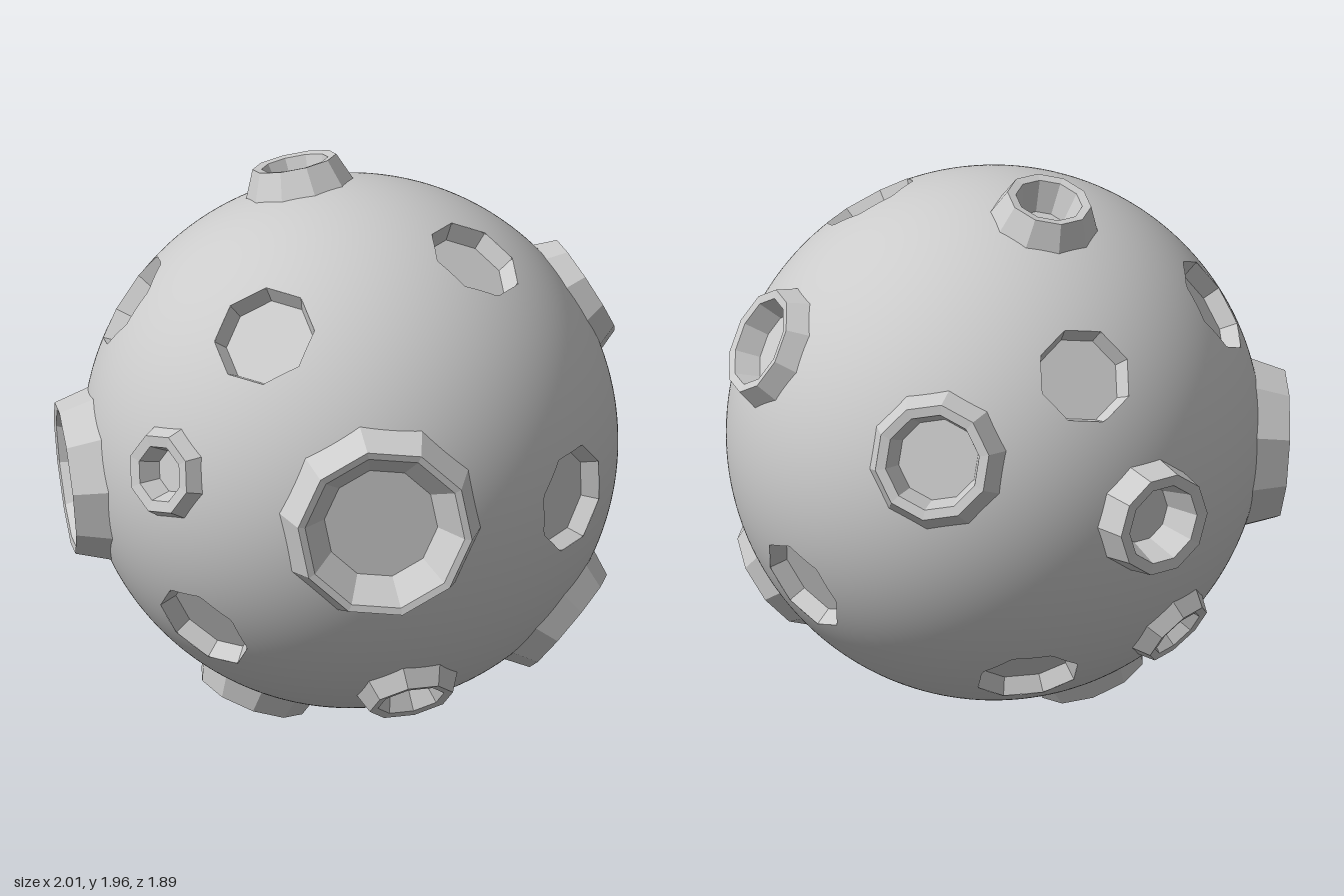
import * as THREE from 'three';
import { mergeVertices } from 'three/addons/utils/BufferGeometryUtils.js';

const R = 0.91;
const CENTRE = [0, 0.97, -0.04];

// Raised craters: direction, base, rim, mouth and floor radius, rim height, sides
const RAISED = [
  [[-0.48, -0.09, 0.87], 0.30, 0.26, 0.235, 0.18, 0.98, 10],
  [[0.87, 0.085, 0.48], 0.35, 0.30, 0.275, 0.195, 0.985, 10],
  [[-0.28, 0.955, 0.035], 0.19, 0.145, 0.115, 0.085, 0.985, 10],
  [[0.17, 0.18, 0.97], 0.17, 0.14, 0.10, 0.075, 0.95, 8],
  [[-1, 0, 0], 0.20, 0.18, 0.14, 0.105, 1.0, 10],
  [[-0.635, 0.275, -0.715], 0.245, 0.20, 0.165, 0.14, 0.97, 10],
  [[0.60, -0.62, -0.52], 0.245, 0.205, 0.165, 0.12, 0.965, 10],
  [[0.66, -0.72, 0.21], 0.18, 0.145, 0.115, 0.08, 0.96, 8],
  [[-0.78, -0.57, 0.25], 0.165, 0.13, 0.10, 0.07, 0.955, 8],
  [[-0.155, -0.93, 0.31], 0.22, 0.19, 0.15, 0.12, 0.97, 10],
  [[0.25, 0.47, -0.845], 0.22, 0.185, 0.155, 0.13, 0.96, 10],
];

// Sunken craters: direction and radius
const SUNKEN = [
  [[-0.53, 0.55, 0.63], 0.18],
  [[0.31, 0.70, 0.62], 0.18],
  [[0.23, -0.47, 0.85], 0.178],
  [[0.93, 0, -0.365], 0.185],
  [[0.46, 0.85, -0.25], 0.17],
  [[-0.82, 0.55, -0.16], 0.17],
  [[-0.045, -0.39, -0.92], 0.178],
  [[-0.63, -0.71, -0.29], 0.178],
];

const UP = new THREE.Vector3(0, 1, 0);
const onSphere = (r) => Math.sqrt(R * R - r * r);

// A crater has an orientation, a lathe profile and the hole it cuts in the ball
function makeCrater(name, dir, profile, cut, sides) {
  const turn = new THREE.Quaternion().setFromUnitVectors(UP, new THREE.Vector3(...dir).normalize());
  return { name, turn, back: turn.clone().invert(), profile, cut, sides };
}

function listCraters() {
  const raised = RAISED.map(([dir, base, rim, mouth, floor, height, sides]) =>
    makeCrater('raisedCrater', dir, [
      [base, onSphere(base) - 0.01], [rim, height], [mouth, height - 0.005],
      [floor, 0.87], [0, 0.87],
    ], (rim + mouth) / 2, sides));
  const sunken = SUNKEN.map(([dir, r]) =>
    makeCrater('sunkenCrater', dir, [
      [r, onSphere(r) + 0.002], [r * 0.87, 0.835], [0, 0.835],
    ], r, 8));
  return [...raised, ...sunken];
}

// Size of the crater-shaped polygon that passes through a local point
function polygonRadius(p, sides) {
  if (p.y < 0) return Infinity;
  const step = (2 * Math.PI) / sides;
  const a = Math.atan2(p.x, p.z);
  const k = Math.floor(a / step) + 0.5;
  return Math.hypot(p.x, p.z) * Math.cos(a - k * step) / Math.cos(step / 2);
}

// Ball with a polygonal opening under every crater
function ballGeometry(craters) {
  let geo = new THREE.IcosahedronGeometry(R, 48);
  geo.deleteAttribute('normal');
  geo.deleteAttribute('uv');
  geo = mergeVertices(geo);
  const pos = geo.attributes.position;
  const old = geo.index.array;
  const point = (i) => new THREE.Vector3().fromBufferAttribute(pos, i);
  const kept = [];
  const edge = new Map();

  // Drop the faces inside an opening and note the vertices they touch
  for (let i = 0; i < old.length; i += 3) {
    const tri = [old[i], old[i + 1], old[i + 2]];
    const mid = point(tri[0]).add(point(tri[1])).add(point(tri[2])).divideScalar(3);
    const hit = craters.find((c) =>
      polygonRadius(mid.clone().applyQuaternion(c.back), c.sides) < c.cut);
    if (hit) tri.forEach((v) => edge.set(v, hit));
    else kept.push(...tri);
  }

  // Slide those vertices onto the outline of the opening
  edge.forEach((c, i) => {
    const p = point(i).applyQuaternion(c.back);
    const s = c.cut / Math.max(polygonRadius(p, c.sides), 1e-4);
    p.x *= s;
    p.z *= s;
    p.y = onSphere(Math.hypot(p.x, p.z));
    p.applyQuaternion(c.turn);
    pos.setXYZ(i, p.x, p.y, p.z);
  });
  geo.setIndex(kept);

  // Smooth round normals
  const normals = new Float32Array(pos.count * 3);
  for (let i = 0; i < pos.count; i++) point(i).normalize().toArray(normals, i * 3);
  geo.setAttribute('normal', new THREE.BufferAttribute(normals, 3));
  return geo;
}

export function createModel() {
  const group = new THREE.Group();
  group.name = 'crateredMoon';
  const smooth = new THREE.MeshStandardMaterial({ color: 0xcccccc });
  const faceted = new THREE.MeshStandardMaterial({ color: 0xcccccc, flatShading: true });
  const craters = listCraters();

  const ball = new THREE.Mesh(ballGeometry(craters), smooth);
  ball.name = 'ball';
  ball.position.set(...CENTRE);
  group.add(ball);

  // Crater rims, walls and floors
  craters.forEach((c) => {
    const points = c.profile.map(([r, h]) => new THREE.Vector2(r, h));
    const mesh = new THREE.Mesh(new THREE.LatheGeometry(points, c.sides), faceted);
    mesh.name = c.name;
    mesh.quaternion.copy(c.turn);
    mesh.position.set(...CENTRE);
    group.add(mesh);
  });
  return group;
}
